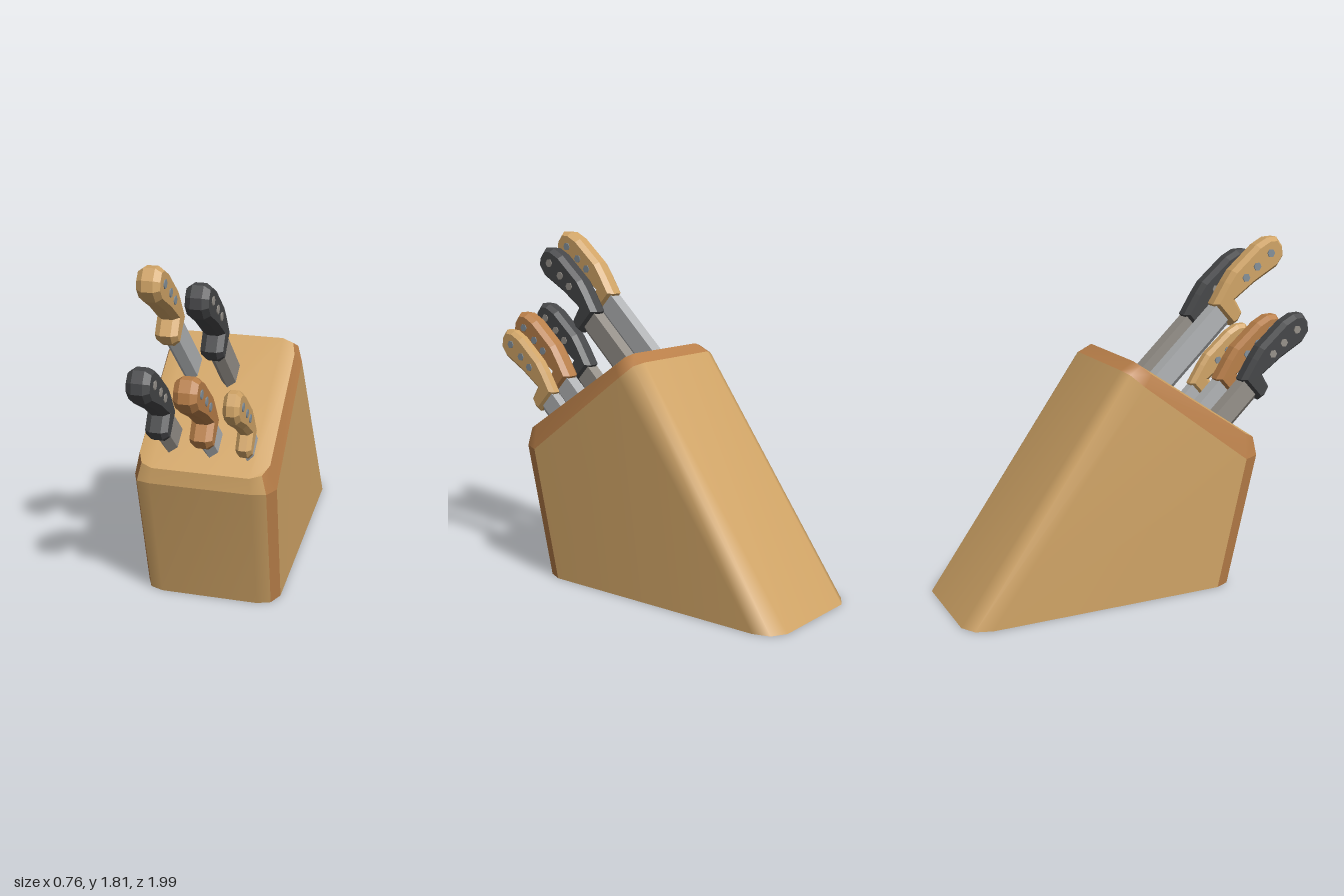
import * as THREE from 'three';
import { ConvexGeometry } from 'three/addons/geometries/ConvexGeometry.js';

const mat = (name, color, side = THREE.FrontSide) => {
  const m = new THREE.MeshStandardMaterial({ color, side });
  m.name = name;
  return m;
};

export function createModel() {
  const wood = mat('light wood', 0xd0a466, THREE.DoubleSide);
  const trim = mat('brown wood', 0xb97f49, THREE.DoubleSide);
  const dark = mat('dark grip', 0x454648);
  const steel = mat('bright steel', 0xb2b4b6);
  const dull = mat('dull steel', 0x96918a);
  const rivetGrey = mat('rivet grey', 0x84909a);

  const model = new THREE.Group();
  model.name = 'knifeBlock';
  const add = (parent, name, geo, material) => {
    const m = new THREE.Mesh(geo, material);
    m.name = name;
    parent.add(m);
    return m;
  };

  // Block cross-sections: right half from front to back, mirrored to the left
  const topY = z => 1.195 - 0.664 * z;
  const ring = half => [...half, ...half.map(([x, y, z]) => [-x, y, z]).reverse()];
  const base = ring([[0.25, 0, 0.485], [0.318, 0, 0.46], [0.353, 0, 0.385],
    [0.353, 0, -0.86], [0.325, 0, -0.945], [0.25, 0, -0.99]]);
  const shoulder = ring([[0.25, 0.695, 0.645], [0.322, 0.69, 0.62], [0.357, 0.685, 0.54],
    [0.355, 1.125, -0.05], [0.322, 1.185, -0.115], [0.26, 1.2, -0.138]]);
  const rim = ring([[0.24, 0.635, 0], [0.298, 0.61, 0.006], [0.325, 0.55, 0.016],
    [0.325, 0, 0.016], [0.308, -0.05, 0.006], [0.25, -0.065, 0]].map(([x, z, drop]) => [x, topY(z) - drop, z]));

  const surface = (points, index) => {
    const g = new THREE.BufferGeometry();
    g.setAttribute('position', new THREE.Float32BufferAttribute(points.flat(), 3));
    g.setIndex(index);
    g.computeVertexNormals();
    return g;
  };
  // Smooth skin between two rings over the given ring corners
  const skin = (low, high, ids) => {
    const n = ids.length, index = [];
    for (let i = 0; i < n - 1; i++) index.push(i, i + 1, n + i + 1, i, n + i + 1, n + i);
    return surface([...ids.map(i => low[i]), ...ids.map(i => high[i])], index);
  };
  const front = [10, 11, 0, 1];
  const block = new THREE.Group();
  block.name = 'block';
  model.add(block);
  add(block, 'frontPanel', skin(base, shoulder, front), wood);
  add(block, 'sidesAndBack', skin(base, shoulder, [2, 3, 4, 5, 6, 7, 8, 9]), wood);
  add(block, 'leftFrontCorner', skin(base, shoulder, [1, 2]), trim);
  add(block, 'rightFrontCorner', skin(base, shoulder, [9, 10]), trim);
  add(block, 'frontBevel', skin(shoulder, rim, front), wood);
  add(block, 'topBevel', skin(shoulder, rim, [1, 2, 3, 4, 5, 6, 7, 8, 9, 10]), trim);
  const topFaces = [11, 0, 5, 11, 5, 6];
  for (const s of [0, 6]) for (let i = 1; i < 5; i++) topFaces.push(s, s + i, s + i + 1);
  add(block, 'slottedTop', surface(rim, topFaces), wood);

  // Handle side profile as (z, y), with a hooked heel
  const profile = [[0.353, 1.4], [0.46, 1.283], [0.5, 1.305], [0.524, 1.348], [0.482, 1.417],
    [0.594, 1.498], [0.727, 1.575], [0.765, 1.63], [0.757, 1.68], [0.72, 1.728], [0.665, 1.725],
    [0.6, 1.69], [0.46, 1.567], [0.42, 1.51]];
  const rivets = [[0.674, 1.647], [0.594, 1.583], [0.529, 1.529]];
  const down = [-0.72, -0.69];

  const knife = (name, x, dz, dy, size, width, grip, blade, rivet) => {
    const g = new THREE.Group();
    g.name = name;
    g.position.x = x;
    model.add(g);
    // Scale about the butt of the handle, then shift into place
    const place = ([z, y]) => [0.765 + (z - 0.765) * size + dz, 1.728 + (y - 1.728) * size + dy];

    const bevel = width * 0.26, depth = width - 2 * bevel;
    const shape = new THREE.Shape(profile.map(p => new THREE.Vector2(...place(p))));
    const handle = new THREE.ExtrudeGeometry(shape, { depth, bevelThickness: bevel,
      bevelSize: 0.02, bevelOffset: -0.02, bevelSegments: 1 });
    handle.translate(0, 0, -depth / 2).rotateY(-Math.PI / 2);
    add(g, 'handle', handle, grip);

    // Hexagonal rivets showing on both cheeks
    for (const r of rivets) {
      const [z, y] = place(r);
      const pin = add(g, 'rivet', new THREE.CylinderGeometry(0.022 * size, 0.022 * size, width + 0.01, 6), rivet);
      pin.rotation.z = Math.PI / 2;
      pin.position.set(0, y, z);
    }

    // Wedge blade: thick spine behind, cutting edge in front, ending just inside the top
    const a = place([0.365, 1.39]), b = place([0.46, 1.29]), h = width * 0.33;
    const points = [];
    for (const [t, half] of [[0, h], [0.75, h], [1, 0]]) {
      const z = a[0] + (b[0] - a[0]) * t, y = a[1] + (b[1] - a[1]) * t;
      const reach = (y - topY(z)) / (0.664 * -down[0] - down[1]) + 0.02;
      for (const d of [-0.04, reach]) for (const s of half ? [-1, 1] : [0])
        points.push(new THREE.Vector3(s * half, y + down[1] * d, z + down[0] * d));
    }
    add(g, 'blade', new ConvexGeometry(points), blade);
  };

  knife('backRightKnife', -0.174, 0.058, 0.08, 1, 0.11, wood, steel, rivetGrey);
  knife('backMiddleKnife', 0.028, 0, 0, 1, 0.11, dark, dull, dull);
  knife('frontRightKnife', -0.176, 0.235, -0.33, 1, 0.11, dark, dull, dull);
  knife('frontMiddleKnife', 0.028, 0.205, -0.365, 1, 0.11, trim, steel, rivetGrey);
  knife('frontLeftKnife', 0.215, 0.13, -0.44, 0.95, 0.076, wood, steel, rivetGrey);

  // The whole piece stands turned by a slight angle
  model.rotation.y = -0.033;
  const root = new THREE.Group();
  root.name = 'knifeBlockSet';
  root.add(model);
  return root;
}
